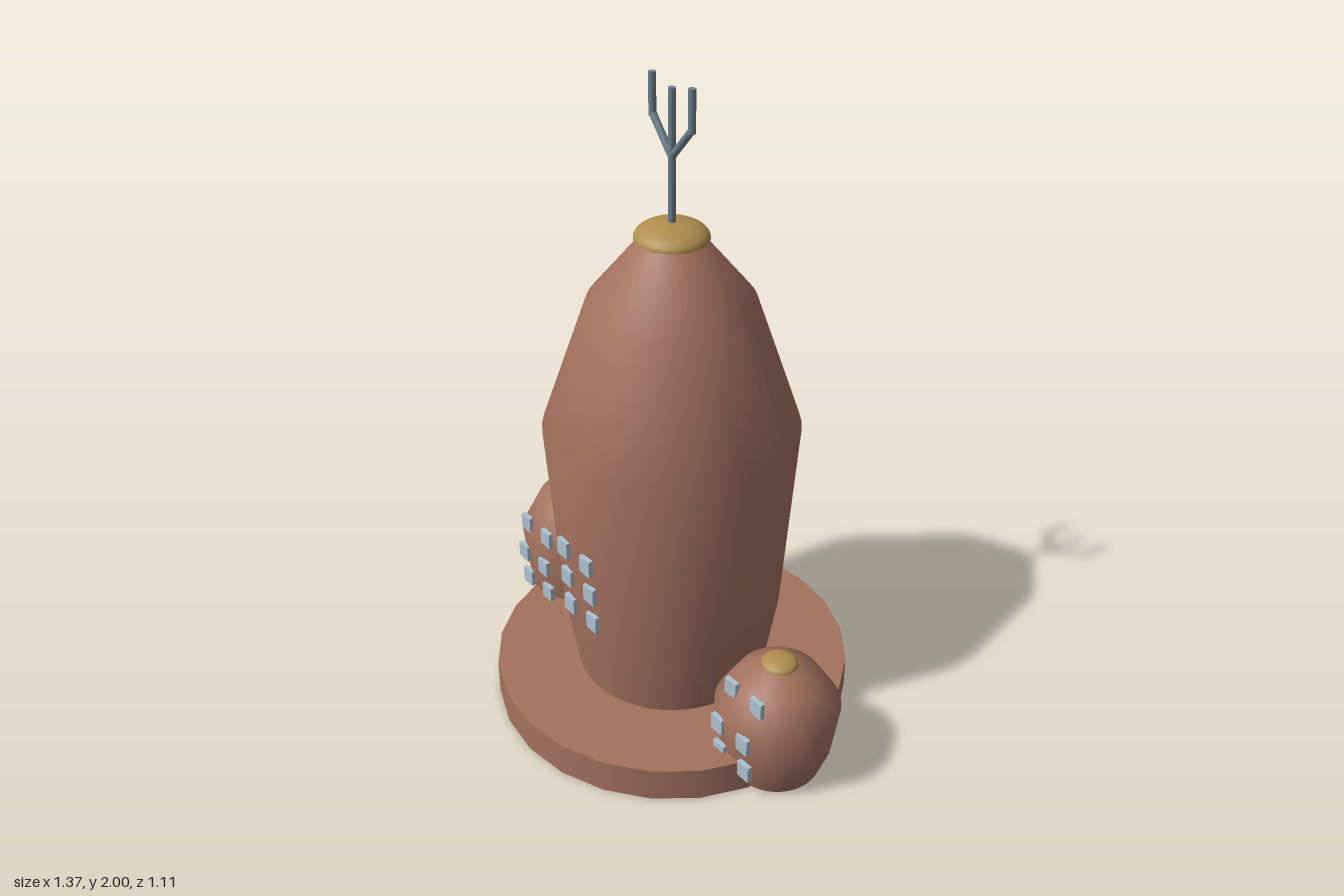
import * as THREE from 'three';

const mat = (name, color, side = THREE.FrontSide) => {
  const m = new THREE.MeshStandardMaterial({ color, side });
  m.name = name;
  return m;
};

export function createModel() {
  const model = new THREE.Group();
  model.name = 'towerBuilding';
  const clay = mat('clay brown', 0xa3725f);
  const gold = mat('dull gold', 0xb08d4f, THREE.DoubleSide);
  const glass = mat('pale blue glass', 0xacc0ce);
  const steel = mat('grey steel', 0x6b7f8b);

  const add = (parent, name, geometry, material, x = 0, y = 0, z = 0) => {
    const mesh = new THREE.Mesh(geometry, material);
    mesh.name = name;
    mesh.position.set(x, y, z);
    parent.add(mesh);
    return mesh;
  };

  // Bulging round body from a profile of [radius, height]
  const body = (parent, name, profile) => add(parent, name,
    new THREE.LatheGeometry(profile.map(([r, y]) => new THREE.Vector2(r, y)), 48), clay);

  // Flattened dome cap
  const cap = (parent, radius, height, y) => {
    const dome = new THREE.SphereGeometry(radius, 32, 10, 0, Math.PI * 2, 0, Math.PI / 2);
    add(parent, 'domeCap', dome.scale(1, height / radius, 1), gold, 0, y, 0);
  };

  // Two columns of windows, rows given as [height, depth]
  const windows = (parent, rows) => {
    for (const [y, z] of rows) for (const x of [-0.055, 0.055])
      add(parent, 'window', new THREE.BoxGeometry(0.047, 0.055, 0.015), glass, x, y, z);
  };

  // Base slab
  add(model, 'base', new THREE.CylinderGeometry(0.555, 0.555, 0.11, 24), clay, 0, 0.055, 0);

  // Main tower
  const tower = new THREE.Group();
  tower.name = 'mainTower';
  model.add(tower);
  body(tower, 'towerBody', [[0.295, 0.1], [0.335, 0.35], [0.377, 0.965], [0.24, 1.367], [0.085, 1.56], [0, 1.575]]);
  cap(tower, 0.106, 0.047, 1.557);
  windows(tower, [[0.425, 0.343], [0.533, 0.35], [0.643, 0.36]]);

  // Side pods: same form at two heights
  const pod = (name, x, s, rows) => {
    const group = new THREE.Group();
    group.name = name;
    group.position.x = x;
    model.add(group);
    body(group, 'podBody', [[0.135, 0], [0.166, 0.11 * s], [0.187, 0.307 * s], [0.125, 0.433 * s], [0.045, 0.494 * s], [0, 0.497 * s]]);
    add(group, 'podFloor', new THREE.CircleGeometry(0.135, 48), clay).rotation.x = Math.PI / 2;
    cap(group, 0.054, 0.024, 0.492 * s);
    windows(group, rows);
  };
  pod('rightPod', -0.5, 1, [[0.135, 0.17], [0.245, 0.182], [0.355, 0.166]]);
  pod('leftPod', 0.5, 0.78, [[0.105, 0.174], [0.215, 0.183], [0.326, 0.133]]);

  // Three-pronged antenna
  const antenna = new THREE.Group();
  antenna.name = 'antenna';
  model.add(antenna);
  const rod = (name, x0, y0, x1, y1) => {
    const length = Math.hypot(x1 - x0, y1 - y0);
    const mesh = add(antenna, name, new THREE.CylinderGeometry(0.0105, 0.0105, length, 10), steel,
      (x0 + x1) / 2, (y0 + y1) / 2, 0);
    mesh.rotation.z = -Math.atan2(x1 - x0, y1 - y0);
  };
  rod('mast', 0, 1.58, 0, 1.98);
  for (const s of [-1, 1]) {
    rod('prongArm', 0, 1.79, s * 0.082, 1.888);
    rod('prongTip', s * 0.082, 1.88, s * 0.082, 2);
  }
  return model;
}
